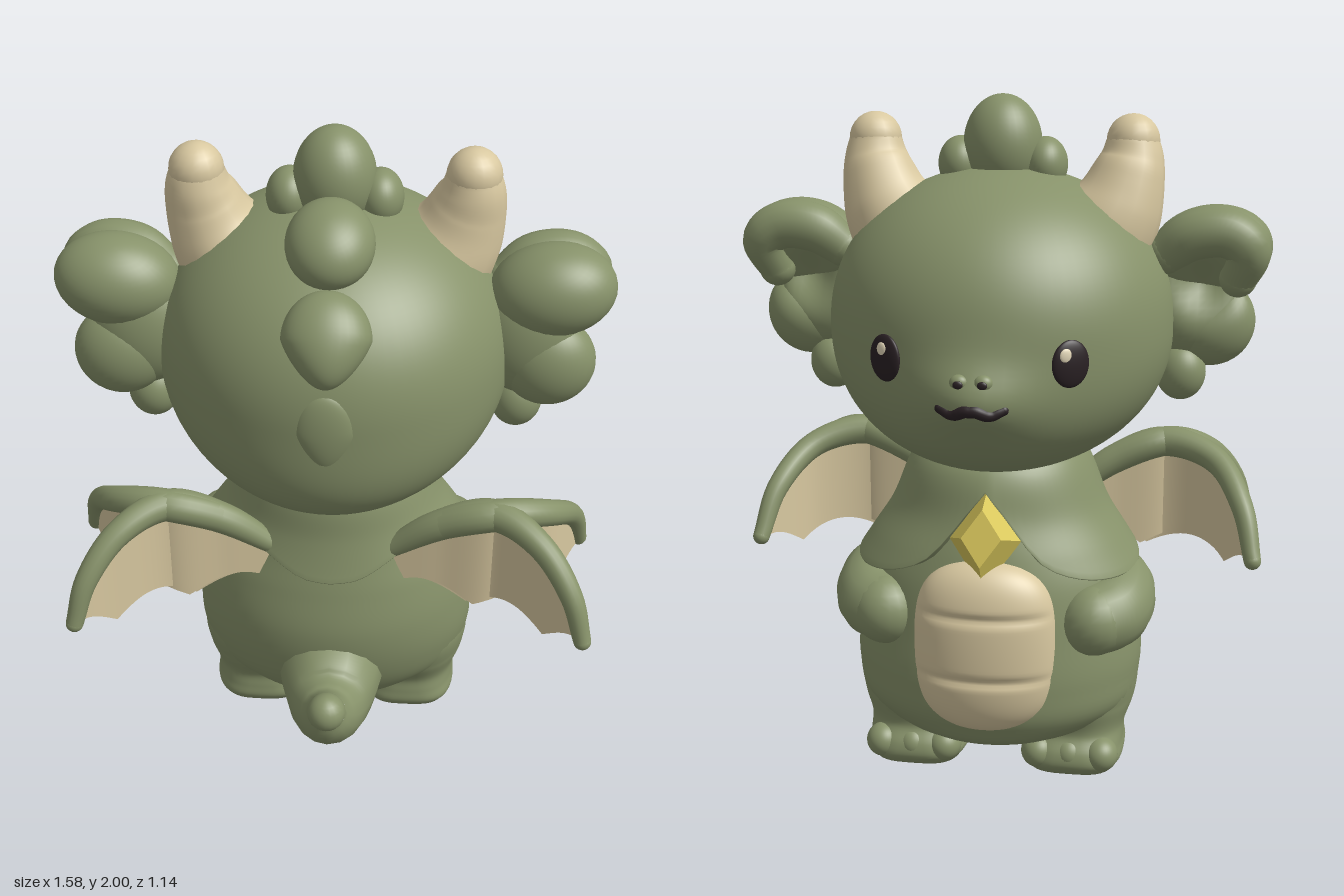
import * as THREE from 'three';
import { mergeVertices, mergeGeometries } from 'three/addons/utils/BufferGeometryUtils.js';

const V = (a) => new THREE.Vector3(...a);
const path = (pts) => new THREE.CatmullRomCurve3(pts.map(V));

// Smooth interpolation in a table of [key, ...values]
function table(rows, k) {
  let i = 0;
  while (i < rows.length - 2 && k > rows[i + 1][0]) i++;
  const [a, b] = [rows[i], rows[i + 1]];
  const t = THREE.MathUtils.clamp((k - a[0]) / (b[0] - a[0]), 0, 1);
  const tan = (j, c) => {
    const p = rows[Math.max(j - 1, 0)], q = rows[Math.min(j + 1, rows.length - 1)];
    return (q[c] - p[c]) / (q[0] - p[0]) * (b[0] - a[0]);
  };
  return a.slice(1).map((_, n) => {
    const c = n + 1, t2 = t * t, t3 = t2 * t;
    return a[c] * (2 * t3 - 3 * t2 + 1) + b[c] * (3 * t2 - 2 * t3) + tan(i, c) * (t3 - 2 * t2 + t) + tan(i + 1, c) * (t3 - t2);
  });
}

// Weld seams and recompute soft normals
function soft(g) {
  g.deleteAttribute('uv');
  g.deleteAttribute('normal');
  g = mergeVertices(g, 1e-4);
  g.computeVertexNormals();
  return g;
}

function warp(g, rule) {
  const p = g.attributes.position, v = new THREE.Vector3();
  for (let i = 0; i < p.count; i++) {
    v.fromBufferAttribute(p, i);
    rule(v, i);
    p.setXYZ(i, v.x, v.y, v.z);
  }
  return g;
}

// Grid surface from a function of u, v
function loft(n, m, fn) {
  const pos = [], idx = [];
  for (let j = 0; j <= m; j++) for (let i = 0; i <= n; i++) pos.push(...fn(i / n, j / m));
  for (let j = 0; j < m; j++) for (let i = 0; i < n; i++) {
    const a = j * (n + 1) + i, c = a + n + 1;
    idx.push(a, a + 1, c + 1, a, c + 1, c);
  }
  const g = new THREE.BufferGeometry();
  g.setAttribute('position', new THREE.Float32BufferAttribute(pos, 3));
  g.setIndex(idx);
  return soft(g);
}

function blob(c, r, rot = [0, 0, 0]) {
  const g = new THREE.SphereGeometry(1, 36, 26).scale(...r);
  g.applyMatrix4(new THREE.Matrix4().makeRotationFromEuler(new THREE.Euler(...rot)));
  return soft(g.translate(...c));
}

// Tapered tube with round ends
function limb(pts, radii, seg = 32) {
  const curve = path(pts), n = 16;
  const rows = radii.map((r, i) => [i / (radii.length - 1), r]);
  const tube = warp(new THREE.TubeGeometry(curve, seg, 1, n), (v, i) => {
    const t = Math.floor(i / (n + 1)) / seg, c = curve.getPointAt(t);
    v.sub(c).multiplyScalar(table(rows, t)[0]).add(c);
  });
  const ends = [0, radii.length - 1].map((i) => new THREE.SphereGeometry(radii[i], 20, 14).translate(...pts[i ? pts.length - 1 : 0]));
  return soft(mergeGeometries([tube, ...ends]));
}

function mirrored(g) {
  const m = g.clone().scale(-1, 1, 1), a = m.index.array;
  for (let i = 0; i < a.length; i += 3) [a[i], a[i + 1]] = [a[i + 1], a[i]];
  m.computeVertexNormals();
  return m;
}

// Head: half width and half depth by height, deeper than wide at the jaw, with a soft snout
const CHEEK = 1.34, UP = 0.457, DOWN = 0.43;
function headSize(y) {
  const u = Math.min(Math.abs(y - CHEEK) / (y > CHEEK ? UP : DOWN), 1);
  const round = (p) => Math.sqrt(1 - u ** p);
  return y > CHEEK ? [0.508 * round(2.2), 0.517 * round(2.2)] : [0.508 * round(2.2), 0.517 * round(3.8)];
}
const snout = (x, y) => 0.06 * Math.exp(-((x / 0.15) ** 2) - ((y - 1.21) / 0.1) ** 2);
function faceZ(x, y) {
  const [w, d] = headSize(y);
  return 0.01 - d * Math.sqrt(Math.max(1 - (x / w) ** 2, 0)) - snout(x, y);
}

// Body sections: height, half width, back z, front z
const BODY = [[0.08, 0.02, 0.05, -0.05], [0.1, 0.22, 0.17, -0.28], [0.18, 0.39, 0.24, -0.37], [0.3, 0.435, 0.29, -0.39],
  [0.45, 0.43, 0.31, -0.38], [0.6, 0.405, 0.29, -0.36], [0.7, 0.355, 0.27, -0.335], [0.8, 0.3, 0.255, -0.3], [0.94, 0.25, 0.24, -0.27], [1.02, 0.2, 0.18, -0.2]];
const LEG = [[0, 0.135, 0.1, -0.245], [0.03, 0.155, 0.12, -0.268], [0.07, 0.152, 0.12, -0.265], [0.12, 0.155, 0.12, -0.24],
  [0.2, 0.182, 0.16, -0.265], [0.29, 0.19, 0.19, -0.29], [0.36, 0.17, 0.18, -0.28]];
function section(rows, y, a, cx = 0, k = 1, square = 1) {
  const [w, b, f] = table(rows, y), mid = (b + f) / 2;
  const bend = (s) => Math.sign(s) * Math.abs(s) ** square;
  return [cx + bend(Math.sin(a)) * w * k, y, mid + bend(Math.cos(a)) * (b - f) / 2 * k];
}
// Cape hem height by angle from the back
const HEM = [[0, 0.67], [0.2, 0.68], [0.5, 0.73], [0.85, 0.77], [1.4, 0.67], [2.1, 0.63], [2.65, 0.68], [2.95, 0.82], [3.15, 0.9]];

export function createModel() {
  const model = new THREE.Group();
  const mat = (name, color, side = THREE.FrontSide) => Object.assign(new THREE.MeshStandardMaterial({ color, side }), { name });
  const green = mat('mossGreen', 0x87926a), tan = mat('cream', 0xd8c8a0, THREE.DoubleSide);
  const gold = mat('gold', 0xdac85c), dark = mat('dark', 0x2a2124), glint = mat('glint', 0xe6dabb);
  const add = (name, g, m = green) => {
    const mesh = new THREE.Mesh(g, m);
    mesh.name = name;
    model.add(mesh);
  };
  const pair = (name, g, m) => {
    add(name + 'Left', g, m);
    add(name + 'Right', mirrored(g), m);
  };

  // Head
  add('head', soft(warp(new THREE.SphereGeometry(1, 72, 64), (v) => {
    const y = CHEEK + v.y * (v.y > 0 ? UP : DOWN), flat = Math.hypot(v.x, v.z) || 1, [w, d] = headSize(y);
    v.set(v.x / flat * w, y, v.z / flat * d + 0.01);
    if (v.z < 0) v.z -= snout(v.x, y);
  })));

  // Crest running down the back of the head
  const drop = (y, z, w, h, d, tilt) => soft(warp(blob([0, 0, 0], [w, h, d]), (v) => {
    if (v.y < 0) v.x *= 1 + 0.35 * v.y / h;
  }).rotateX(tilt).translate(0, y, z));
  add('crestTop', blob([0, 1.855, 0.02], [0.115, 0.145, 0.118]));
  pair('crestSide', blob([0.125, 1.8, 0.02], [0.065, 0.08, 0.08]));
  add('crestUpper', blob([0, 1.77, 0.255], [0.12, 0.1, 0.135], [0.45, 0, 0]));
  add('crestMiddle', drop(1.585, 0.44, 0.12, 0.13, 0.085, -0.6));
  add('crestLower', drop(1.34, 0.505, 0.085, 0.12, 0.033, 0));

  // Horns
  pair('horn', limb([[0.29, 1.6, -0.01], [0.34, 1.69, -0.005], [0.366, 1.77, 0.005], [0.376, 1.82, 0.015], [0.378, 1.87, 0.02]], [0.155, 0.142, 0.12, 0.1, 0.077]), tan);

  // Ears: lobes hollowed on the face side, with a curled upper rim
  const hollow = (v) => {
    if (v.z < 0.06) v.z += 0.08 * Math.exp(-(((v.x - 0.59) / 0.08) ** 2) - ((v.y - 1.47) / 0.09) ** 2);
  };
  const lobe = (...a) => warp(blob(...a), hollow);
  const ear = mergeGeometries([
    lobe([0.61, 1.555, 0.07], [0.178, 0.13, 0.135], [0.45, 0, 0.15]),
    lobe([0.55, 1.41, 0.08], [0.15, 0.18, 0.1]),
    lobe([0.61, 1.34, 0.095], [0.135, 0.135, 0.1]),
    lobe([0.53, 1.19, 0.06], [0.075, 0.085, 0.07]),
    limb([[0.48, 1.55, 0.0], [0.56, 1.605, -0.015], [0.66, 1.612, -0.02], [0.715, 1.57, -0.02], [0.69, 1.48, 0.015]], [0.06, 0.072, 0.072, 0.066, 0.055]),
  ]);
  pair('ear', soft(ear));

  // Face
  const eyeTurn = 0.56;
  pair('eye', blob([0.255, 1.31, faceZ(0.255, 1.31) - 0.002], [0.055, 0.066, 0.016], [0, -eyeTurn, 0]), dark);
  for (const x of [0.262, -0.245]) {
    add('eyeGlint', blob([x, 1.335, faceZ(x, 1.335) - 0.016], [0.018, 0.02, 0.006], [0, -Math.sign(x) * eyeTurn, 0]), glint);
  }
  pair('nostrilBump', blob([0.033, 1.27, faceZ(0.033, 1.27) + 0.01], [0.026, 0.022, 0.02]));
  pair('nostril', blob([0.033, 1.267, faceZ(0.033, 1.267) - 0.007], [0.014, 0.011, 0.006]), dark);
  const lip = [];
  for (let i = -6; i <= 6; i++) {
    const x = i * 0.0145, y = 1.19 - 0.007 * Math.cos(Math.abs(i) * 1.05 + 2.6);
    lip.push([x, y, faceZ(x, y) + 0.009]);
  }
  add('mouth', limb(lip, [0.014, 0.018, 0.018, 0.014], 48), dark);

  // Body, belly plates and legs
  add('body', loft(56, 52, (u, v) => section(BODY, 0.08 + 0.94 * v, u * Math.PI * 2)));
  add('belly', soft(warp(new THREE.SphereGeometry(1, 48, 80), (v) => {
    const groove = 1 - 0.1 * Math.exp(-((Math.abs(Math.sin((v.y + 1) * Math.PI * 1.4)) / 0.22) ** 2));
    v.set(v.x * 0.21 * (1 + 0.4 * v.y * v.y), 0.435 + v.y * 0.265, -0.32 + v.z * 0.12 * groove * (1 + 0.3 * v.y * v.y));
  })), tan);
  pair('leg', loft(40, 50, (u, v) => {
    const y = Math.max(v - 0.08, 0) / 0.92 * 0.36, square = 0.6 + 0.4 * Math.min(y / 0.2, 1);
    return section(LEG, y, u * Math.PI * 2, 0.24, Math.min(v / 0.08, 1), square);
  }));
  for (const [i, x] of [0.145, 0.24, 0.335].entries()) pair('toe' + i, blob([x, 0.06, -0.215], [0.052, 0.052, 0.055]));

  // Tail curling upward
  add('tail', limb([[0, 0.3, 0.1], [0, 0.26, 0.27], [0, 0.255, 0.39], [0, 0.295, 0.47], [0, 0.345, 0.512]], [0.2, 0.17, 0.145, 0.105, 0.058]));

  // Arms resting against the belly
  pair('arm', limb([[0.33, 0.6, 0.01], [0.375, 0.555, -0.09], [0.36, 0.515, -0.2], [0.31, 0.505, -0.25]], [0.07, 0.1, 0.11, 0.105]));

  // Cape with a rolled hem
  add('cape', loft(72, 24, (u, v) => {
    const a = u * Math.PI * 2, [hem] = table(HEM, Math.min(a, 2 * Math.PI - a));
    const t = Math.max((v - 0.2) / 0.8, 0), y = THREE.MathUtils.lerp(hem, 0.97, t);
    const k = v < 0.2 ? 0.94 + 0.18 * Math.sin(v / 0.2 * Math.PI / 2) : 1.12 - 0.04 * t;
    return section(BODY, y, a, 0, k);
  }));

  // Faceted pendant: a bevelled kite leaning back
  const gem = new THREE.CylinderGeometry(0.55, 1, 1, 4).toNonIndexed();
  gem.computeVertexNormals();
  add('gem', gem.rotateX(-Math.PI / 2).scale(0.105, 0.15, 0.085).rotateX(0.32).translate(0, 0.77, -0.35), gold);

  // Wings: two curved fingers sharing a root, each carrying a scalloped web
  const root = [[0.18, 0.75, 0.22], [0.32, 0.855, 0.245], [0.48, 0.915, 0.27]];
  const fingers = {
    Back: [...root, [0.61, 0.875, 0.36], [0.7, 0.76, 0.44], [0.74, 0.625, 0.475]],
    Front: [...root, [0.64, 0.88, 0.2], [0.73, 0.77, 0.06], [0.765, 0.63, -0.02]],
  };
  for (const [key, pts] of Object.entries(fingers)) {
    const curve = path(pts);
    pair('wingFinger' + key, limb(pts, [0.032, 0.046, 0.048, 0.04, 0.034, 0.026], 40));
    pair('wingWeb' + key, loft(48, 8, (u, v) => {
      const p = curve.getPointAt(u);
      const low = 0.56 + 0.05 * Math.abs(Math.sin(3 * Math.PI * u)) + 0.06 * (1 - u) ** 3 + 0.05 * u ** 8;
      return [p.x, THREE.MathUtils.lerp(Math.min(low, p.y), p.y, v), p.z];
    }), tan);
  }
  return model;
}
